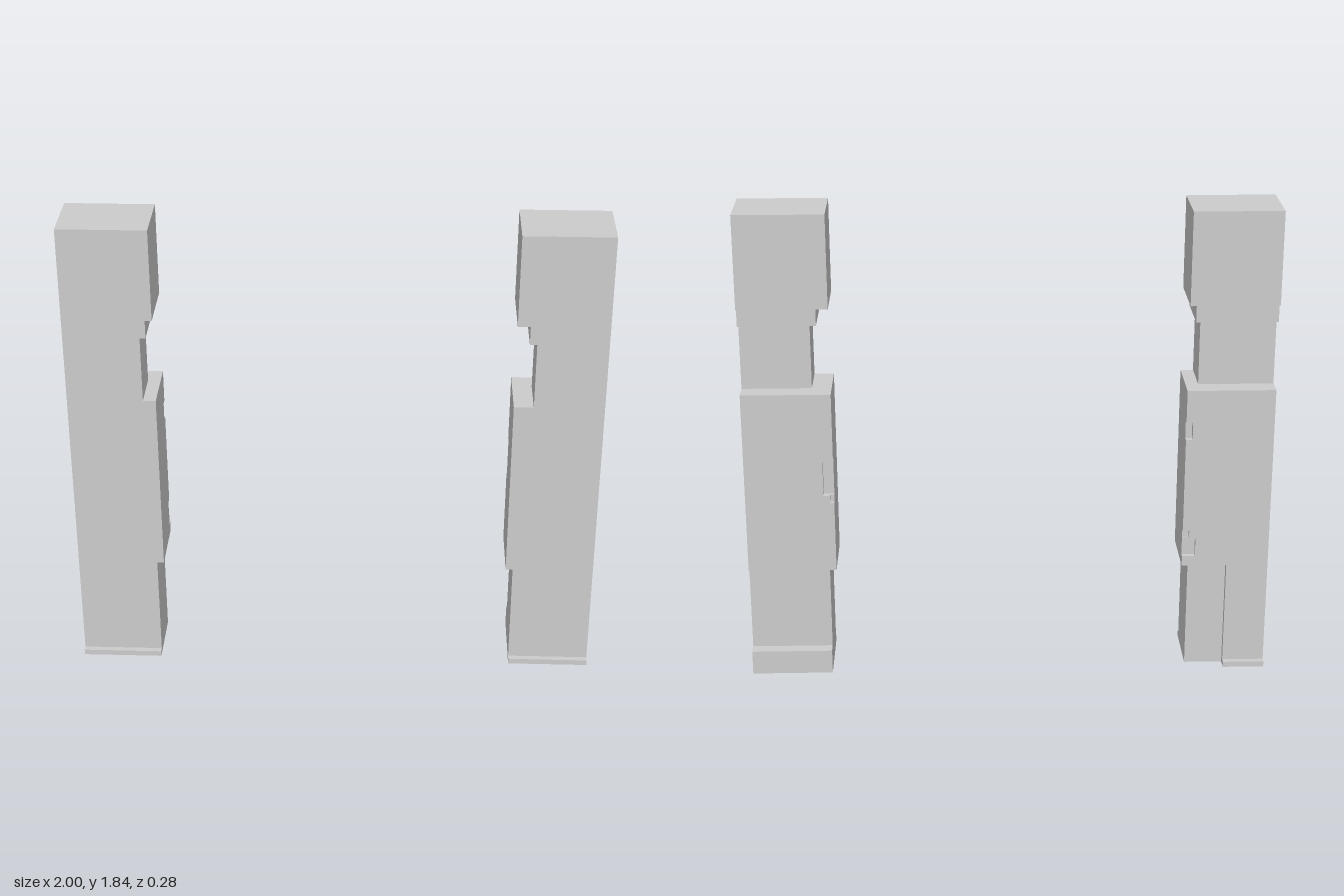
import * as THREE from 'three';

const material = new THREE.MeshStandardMaterial({ color: 0xcccccc, flatShading: true });
const FRONT = 0.12, BACK = 0.12;

// One horizontal layer of a post. Plan outline: outer face at |x| = 1, inner face
// at |x| = inner, back face at z = -back, with an optional notch (cutX by cutZ)
// taken out of the inner back corner.
function layer(side, name, y0, y1, inner, back, cutX = 0, cutZ = 0) {
  const pts = [[1, -FRONT], [1, back]];
  if (cutX > 0) {
    pts.push([inner + cutX, back], [inner + cutX, back - cutZ], [inner, back - cutZ]);
  } else {
    pts.push([inner, back]);
  }
  pts.push([inner, -FRONT]);
  const shape = new THREE.Shape(pts.map(([x, y]) => new THREE.Vector2(side * x, y)));
  const geometry = new THREE.ExtrudeGeometry(shape, { depth: y1 - y0, bevelEnabled: false });
  geometry.rotateX(-Math.PI / 2);
  geometry.translate(0, y0, 0);
  const mesh = new THREE.Mesh(geometry, material);
  mesh.name = name;
  return mesh;
}

// Block reaching from |x| = inner to 1, between two z positions
function block(side, name, y0, y1, inner, z0, z1) {
  const mesh = new THREE.Mesh(new THREE.BoxGeometry(1 - inner, y1 - y0, z1 - z0), material);
  mesh.position.set(side * (1 + inner) / 2, (y0 + y1) / 2, (z0 + z1) / 2);
  mesh.name = name;
  return mesh;
}

function post(side, name, layers, blocks) {
  const group = new THREE.Group();
  group.name = name;
  for (const l of layers) group.add(layer(side, ...l));
  for (const b of blocks) group.add(block(side, ...b));
  return group;
}

export function createModel() {
  const model = new THREE.Group();
  model.name = 'doorPosts';

  // Left post: latch notch and a full-width plinth behind
  model.add(post(1, 'leftPost', [
    ['foot', 0, 0.43, 0.69, 0.095],
    ['lowerShaft', 0.43, 0.71, 0.663, BACK],
    ['latchNotchStep', 0.71, 0.74, 0.663, BACK, 0.015, 0.015],
    ['latchNotch', 0.74, 0.88, 0.663, BACK, 0.04, 0.025],
    ['upperShaft', 0.88, 1.147, 0.663, BACK],
    ['neck', 1.147, 1.407, 0.737, 0.045],
    ['collar', 1.407, 1.478, 0.71, 0.095],
    ['head', 1.478, 1.835, 0.663, BACK],
  ], [
    ['frontLip', 0, 0.022, 0.69, FRONT, 0.142],
    ['backPlinth', 0, 0.095, 0.69, -0.142, -0.095],
  ]));

  // Right post: two hinge notches and a rebate up the inner back corner of the foot
  model.add(post(-1, 'rightPost', [
    ['foot', 0, 0.43, 0.693, BACK, 0.147, 0.025],
    ['shaftBottom', 0.43, 0.47, 0.667, BACK],
    ['lowerHingeNotchStep', 0.47, 0.545, 0.667, BACK, 0.05, 0.02],
    ['lowerHingeNotch', 0.545, 0.575, 0.667, BACK, 0.025, 0.025],
    ['shaftMiddle', 0.575, 0.95, 0.667, BACK],
    ['upperHingeNotch', 0.95, 1.02, 0.667, BACK, 0.025, 0.025],
    ['shaftTop', 1.02, 1.147, 0.667, BACK],
    ['neck', 1.147, 1.407, 0.715, 0.045],
    ['collar', 1.407, 1.478, 0.693, 0.095],
    ['head', 1.478, 1.835, 0.667, BACK],
  ], [
    ['frontLip', 0, 0.022, 0.693, FRONT, 0.142],
    ['backLip', 0, 0.022, 0.84, -0.142, -BACK],
  ]));

  return model;
}
